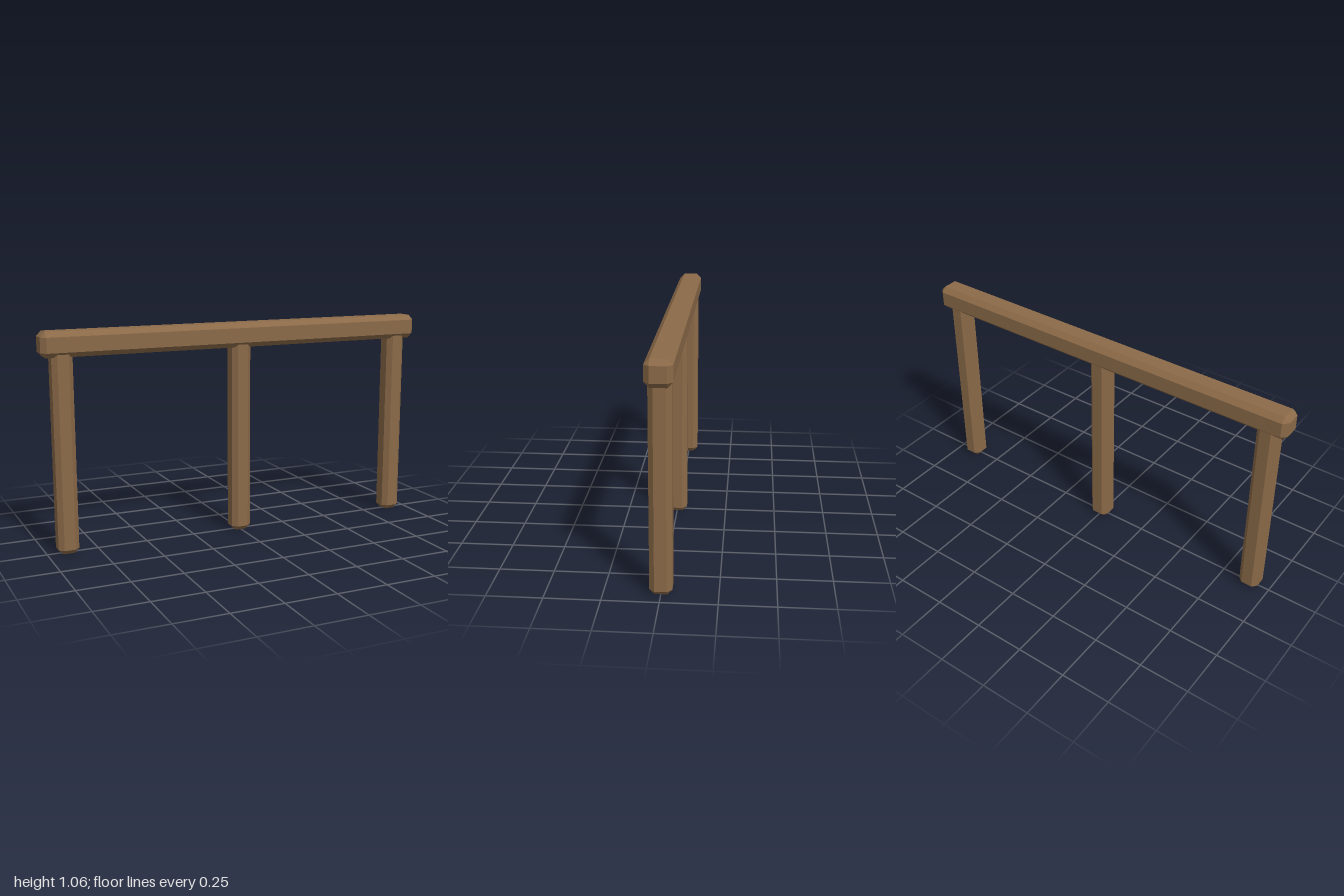
import * as THREE from 'three';
import { ConvexGeometry } from 'three/addons/geometries/ConvexGeometry.js';

const wood = new THREE.MeshStandardMaterial({ color: 0x8b6a48, flatShading: true });

// Box with every edge cut flat by c, leaving a small triangle at each corner
function chamferedBox(name, w, h, d, c) {
  const half = [w / 2, h / 2, d / 2];
  const points = [];
  for (const sx of [-1, 1]) for (const sy of [-1, 1]) for (const sz of [-1, 1]) {
    for (let axis = 0; axis < 3; axis++) {
      const [x, y, z] = half.map((v, i) => (i === axis ? v : v - c));
      points.push(new THREE.Vector3(sx * x, sy * y, sz * z));
    }
  }
  const mesh = new THREE.Mesh(new ConvexGeometry(points), wood);
  mesh.name = name;
  return mesh;
}

export function createModel() {
  const model = new THREE.Group();
  model.name = 'hitchingRail';

  // Horizontal beam
  const rail = chamferedBox('topRail', 2, 0.12, 0.12, 0.024);
  rail.position.y = 1;
  model.add(rail);

  // Three posts, their tops sunk into the beam
  const postHeight = 1;
  [['rightPost', -0.9], ['middlePost', 0], ['leftPost', 0.9]].forEach(([name, x]) => {
    const post = chamferedBox(name, 0.1, postHeight, 0.1, 0.023);
    post.position.set(x, postHeight / 2, 0);
    model.add(post);
  });

  return model;
}
